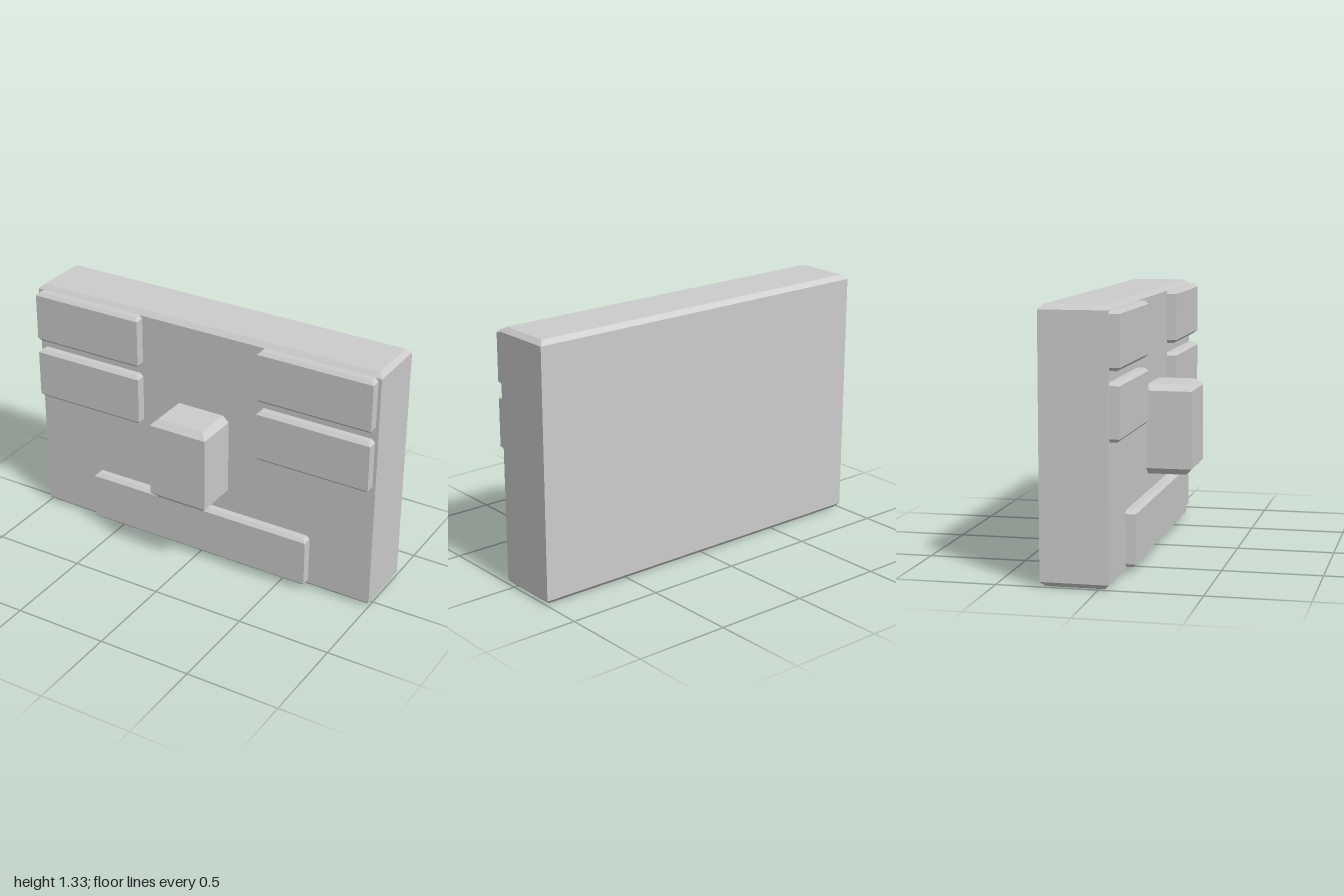
import * as THREE from 'three';

const material = new THREE.MeshStandardMaterial({ color: 0xcccccc, flatShading: true });

// Block with sharp upright edges and chamfered top and bottom rims
function chamferBlock(name, [x0, x1], [y0, y1], [z0, z1], bevel) {
  const hx = (x1 - x0) / 2 - bevel;
  const hz = (z1 - z0) / 2 - bevel;
  const shape = new THREE.Shape();
  shape.moveTo(-hx, -hz).lineTo(hx, -hz).lineTo(hx, hz).lineTo(-hx, hz).closePath();
  const geometry = new THREE.ExtrudeGeometry(shape, {
    depth: y1 - y0 - 2 * bevel,
    bevelThickness: bevel,
    bevelSize: bevel,
    bevelSegments: 1,
  });
  geometry.rotateX(-Math.PI / 2);
  geometry.translate((x0 + x1) / 2, y0 + bevel, (z0 + z1) / 2);
  const mesh = new THREE.Mesh(geometry, material);
  mesh.name = name;
  return mesh;
}

export function createModel() {
  const group = new THREE.Group();
  group.name = 'facePanel';

  // Main slab
  group.add(chamferBlock('panel', [-1, 1], [0, 1.332], [-0.284, 0.05], 0.024));

  // Brow and eye plates, mirrored
  const rows = [['browPlate', 1.027, 1.309], ['eyePlate', 0.695, 0.977]];
  for (const [name, y0, y1] of rows) {
    group.add(chamferBlock(name + 'Left', [0.351, 0.983], [y0, y1], [0.02, 0.102], 0.017));
    group.add(chamferBlock(name + 'Right', [-0.983, -0.351], [y0, y1], [0.02, 0.102], 0.017));
  }

  // Protruding nose block
  group.add(chamferBlock('nose', [-0.164, 0.164], [0.402, 0.868], [0.02, 0.284], 0.033));

  // Long mouth plate
  group.add(chamferBlock('mouthPlate', [-0.65, 0.65], [0.028, 0.31], [0.02, 0.102], 0.017));

  return group;
}
